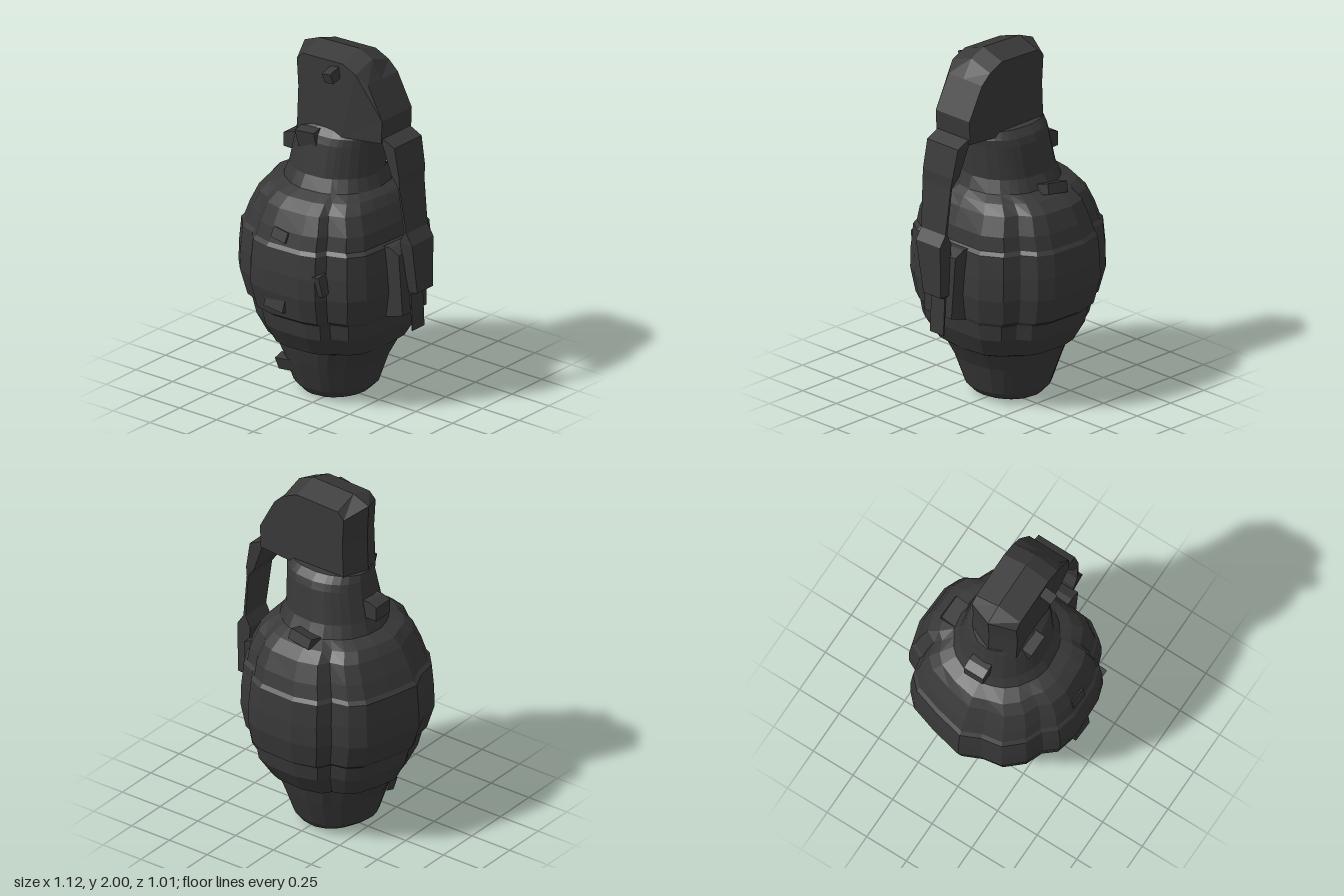
import * as THREE from 'three';

// Closed skin over horizontal rings of [x, y, z] points, listed bottom to top
function loft(rings) {
  const n = rings[0].length, pos = [];
  const tri = (a, b, c) => pos.push(...a, ...b, ...c);
  const mid = r => [0, 1, 2].map(k => r.reduce((s, p) => s + p[k], 0) / n);
  const low = rings[0], high = rings[rings.length - 1];
  for (let j = 0; j < n; j++) {
    const k = (j + 1) % n;
    for (let i = 0; i + 1 < rings.length; i++) {
      tri(rings[i][j], rings[i + 1][j], rings[i + 1][k]);
      tri(rings[i][j], rings[i + 1][k], rings[i][k]);
    }
    tri(mid(low), low[j], low[k]);
    tri(mid(high), high[k], high[j]);
  }
  const g = new THREE.BufferGeometry();
  g.setAttribute('position', new THREE.Float32BufferAttribute(pos, 3));
  g.computeVertexNormals();
  return g;
}

// Rectangular bar from rows of [y, inner x, outer x, front z, back z]
const bar = rows => loft(rows.map(([y, xi, xo, zf, zb]) =>
  [[xo, y, zf], [xi, y, zf], [xi, y, zb], [xo, y, zb]]));

// Plan of the segmented body around its own centre
const plan = [[.48, 0], [.47, .15], [.46, .28], [.4, .37], [.29, .41], [.26, .47], [.17, .5], [-.05, .51],
  [-.17, .48], [-.23, .41], [-.33, .37], [-.42, .27], [-.44, .15], [-.49, .04], [-.45, -.14], [-.4, -.3],
  [-.33, -.37], [-.23, -.39], [-.19, -.47], [-.05, -.51], [.18, -.5], [.27, -.46], [.32, -.38], [.41, -.34],
  [.48, -.22]];

// Body rows: [y, centre x, radius x, radius z, how strongly the segments show]
const bodyRows = [
  [0, -.02, .12, .15, 0], [.02, -.03, .18, .2, 0], [.06, -.04, .23, .23, .1], [.22, -.04, .28, .29, .2],
  [.32, -.04, .335, .32, .3], [.335, -.05, .36, .36, .7], [.45, -.05, .415, .43, 1], [.54, -.055, .435, .445, 1],
  [.56, -.06, .45, .475, 1], [.7, -.07, .485, .505, 1], [.82, -.07, .48, .505, 1], [.95, -.07, .47, .49, 1],
  [.97, -.07, .45, .475, 1], [1.05, -.06, .43, .455, 1], [1.15, -.055, .385, .415, .9], [1.2, -.05, .35, .35, .6],
  [1.23, -.03, .29, .28, .2], [1.3, -.03, .265, .245, 0], [1.48, -.01, .25, .215, 0], [1.52, -.005, .25, .2, 0],
  [1.56, -.01, .235, .165, 0]];

function bodyGeometry() {
  return loft(bodyRows.map(([y, cx, rx, rz, s]) => plan.map(([px, pz]) => {
    const a = Math.atan2(pz / .5, px / .48);
    const mix = (round, seg) => round + (seg - round) * s;
    return [cx + rx * mix(Math.cos(a), px / .485), y, rz * mix(Math.sin(a), pz / .51)];
  })));
}

// Head with a ridged roof and a shoulder reaching out to the lever
function headGeometry() {
  const shape = new THREE.Shape([[-.24, 1.5], [.11, 1.5], [.12, 1.53], [.37, 1.55], [.375, 1.68], [.28, 1.86],
    [.22, 1.96], [.13, 2], [-.14, 1.99], [-.24, 1.95], [-.23, 1.75]].map(p => new THREE.Vector2(...p)));
  const g = new THREE.ExtrudeGeometry(shape, { depth: .28, steps: 2, bevelEnabled: false });
  g.translate(0, 0, -.12);
  const p = g.attributes.position;
  for (let i = 0; i < p.count; i++) {
    const z = p.getZ(i), x = p.getX(i), y = p.getY(i);
    if (Math.abs(z - .02) < .05) continue;
    if (y > 1.9) p.setY(i, y - .045);
    if (x < -.2) p.setX(i, x + .06);
    if (x > .25 && z > 0) p.setZ(i, z - .03);
  }
  g.computeVertexNormals();
  return g;
}

export function createModel() {
  const model = new THREE.Group();
  const metal = new THREE.MeshStandardMaterial({ color: 0x383838, flatShading: true });
  metal.name = 'dark metal';
  const add = (name, geometry) => {
    const m = new THREE.Mesh(geometry, metal);
    m.name = name;
    model.add(m);
    return m;
  };

  add('body', bodyGeometry());
  add('head', headGeometry());

  // Lever hanging from the shoulder and the block that holds it off the body
  add('lever', bar([[.48, .503, .51, .04, -.06], [.69, .49, .5, .04, -.06], [.71, .49, .55, .05, -.08],
    [1, .47, .555, .1, -.08], [1.06, .5, .515, .1, -.08], [1.32, .475, .485, .12, -.09],
    [1.38, .43, .482, .12, -.1], [1.54, .37, .45, .12, -.11], [1.575, .33, .375, .12, -.11]]));
  add('leverBlock', bar([[.55, .25, .39, .1, -.1], [.58, .25, .49, .1, -.1], [.93, .25, .48, .12, -.12],
    [.96, .25, .42, .12, -.12]]));

  // Pin tab on the side of the neck
  add('pinTab', bar([[1.32, -.35, -.2, .06, -.06], [1.4, -.35, -.2, .06, -.06], [1.42, -.3, -.2, .06, -.06]]));

  // Small raised chips: [x, y, z, width, height, depth, tilt]
  [[-.07, 1.49, .19, .13, .1, .06, .2], [.08, 1.89, .18, .06, .06, .09, .3], [-.06, .65, .475, .13, .1, .04, -.2],
    [.17, .79, .43, .11, .12, .06, .2], [-.2, .17, .21, .11, .07, .06, .3], [-.05, 1.02, .45, .1, .06, .04, -.3],
    [-.06, 1.23, -.3, .14, .06, .1, .3]].forEach(([x, y, z, w, h, d, t]) => {
    const chip = add('chip', new THREE.BoxGeometry(w, h, d));
    chip.position.set(x, y, z);
    chip.rotation.set(t, 0, t / 2);
  });
  return model;
}
